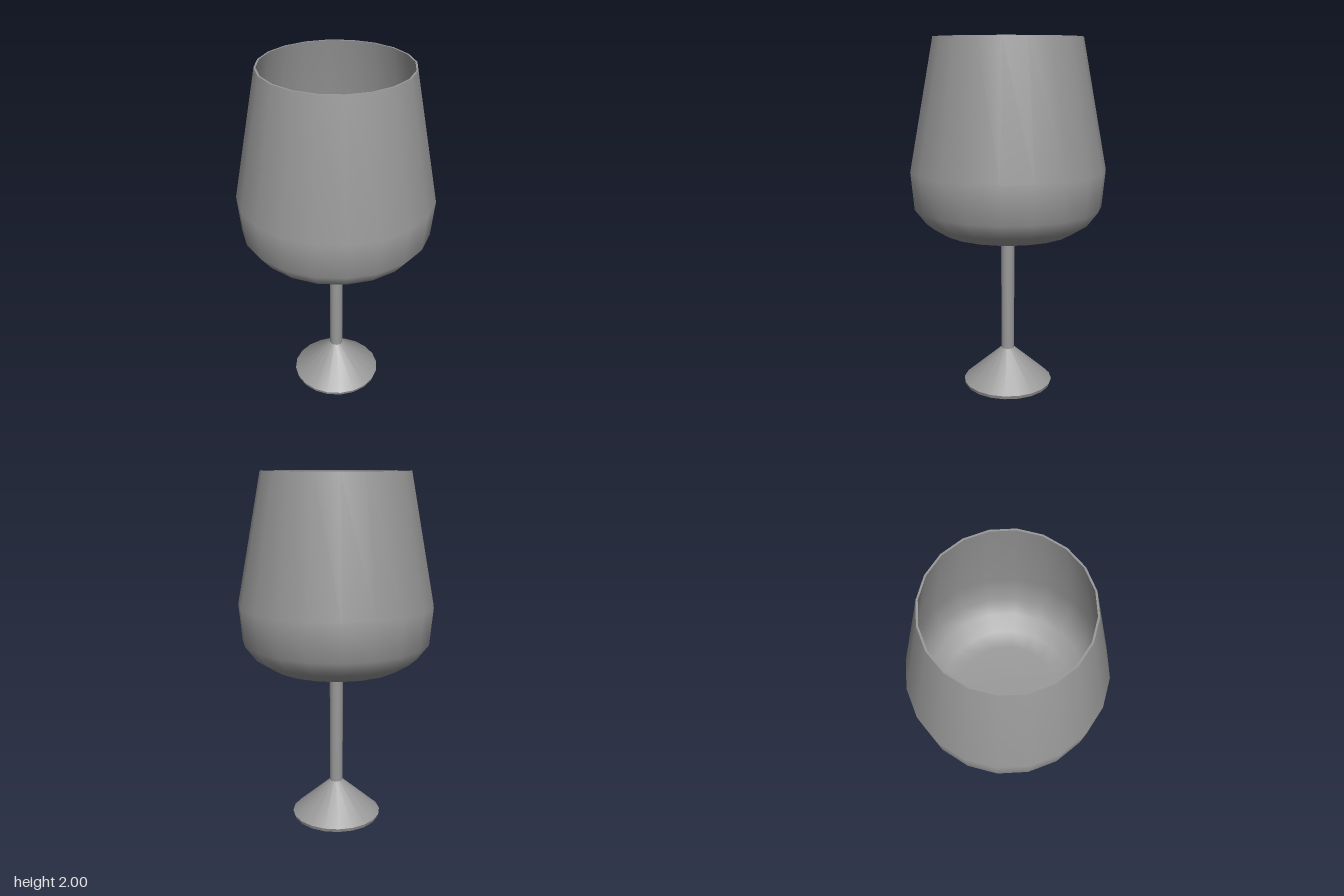
import * as THREE from 'three';

export function createModel() {
  const glass = new THREE.MeshStandardMaterial({ color: 0x999999 });
  glass.name = 'greyGlass';
  const model = new THREE.Group();
  model.name = 'wineGlass';

  // Each turned surface is smooth inside and has a sharp edge where it meets the next
  const turn = (name, profile, parent) => {
    const points = profile.map(([r, y]) => new THREE.Vector2(r, y));
    const mesh = new THREE.Mesh(new THREE.LatheGeometry(points, 20), glass);
    mesh.name = name;
    parent.add(mesh);
  };
  const group = (name) => {
    const g = new THREE.Group();
    g.name = name;
    model.add(g);
    return g;
  };

  // Bowl: outer wall, thin rim and inner wall
  const outer = [[0, 0.905], [0.28, 0.905], [0.375, 0.93], [0.465, 0.987], [0.528, 1.07], [0.547, 1.28], [0.41, 2]];
  const inner = [[0.4, 2], [0.537, 1.28], [0.518, 1.075], [0.458, 0.995], [0.371, 0.94], [0.278, 0.915], [0, 0.915]];
  const bowl = group('bowl');
  turn('bowlOuterWall', outer, bowl);
  turn('bowlRim', [[0.41, 2], [0.4, 2]], bowl);
  turn('bowlInnerWall', inner, bowl);

  // Stem
  turn('stem', [[0.038, 0.215], [0.038, 0.905]], model);

  // Foot: underside, narrow edge and cone
  const foot = group('foot');
  turn('footUnderside', [[0, 0], [0.252, 0]], foot);
  turn('footEdge', [[0.252, 0], [0.258, 0.02]], foot);
  turn('footCone', [[0.258, 0.02], [0.038, 0.215]], foot);

  return model;
}
